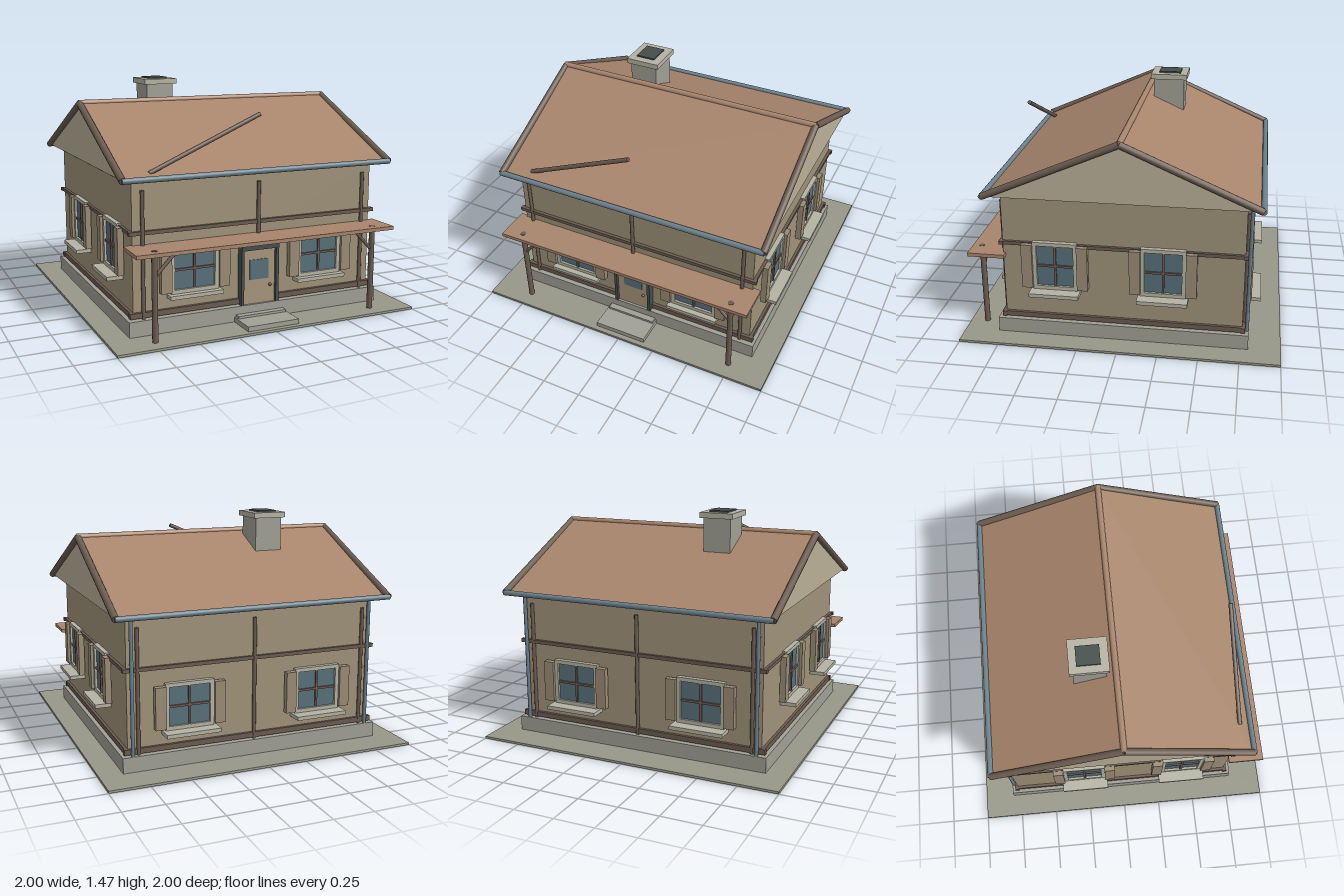
import * as THREE from 'three';

const paint = (color) => new THREE.MeshStandardMaterial({ color });
const M = {
  wall: paint(0x9f9279), timber: paint(0x6b5c50), roof: paint(0xa8856c), gable: paint(0xbab098),
  stone: paint(0xa0a095), slab: paint(0x979789), frame: paint(0xb4b3a3), glass: paint(0x587079),
  metal: paint(0x6c808a), dark: paint(0x454e4c), shutter: paint(0x9b8d75), door: paint(0xa6967b),
};

// Box given by its extents on each axis
function box(parent, name, mat, [x0, x1], [y0, y1], [z0, z1]) {
  const mesh = new THREE.Mesh(new THREE.BoxGeometry(x1 - x0, y1 - y0, z1 - z0), mat);
  mesh.position.set((x0 + x1) / 2, (y0 + y1) / 2, (z0 + z1) / 2);
  mesh.name = name;
  parent.add(mesh);
  return mesh;
}

// Round bar between two points
function bar(parent, name, mat, a, b, r) {
  const from = new THREE.Vector3(...a), to = new THREE.Vector3(...b);
  const dir = to.clone().sub(from);
  const mesh = new THREE.Mesh(new THREE.CylinderGeometry(r, r, dir.length(), 12), mat);
  mesh.position.copy(from).add(to).multiplyScalar(0.5);
  mesh.quaternion.setFromUnitVectors(new THREE.Vector3(0, 1, 0), dir.normalize());
  mesh.name = name;
  parent.add(mesh);
  return mesh;
}

// Shuttered window, facing +z from the wall plane z = 0
function makeWindow(w, h, sillOut) {
  const g = new THREE.Group();
  g.name = 'window';
  const x = w / 2, y = h / 2, t = 0.024;
  box(g, 'glass', M.glass, [-x + t, x - t], [-y + t / 2, y - t / 2], [0, 0.015]);
  for (const s of [-1, 1]) {
    const side = box(g, 'frameSide', M.frame, [-t / 2, t / 2], [-y, y], [0, 0.03]);
    side.position.x = s * (x - t / 2);
    const rail = box(g, 'frameRail', M.frame, [-x, x], [-t / 2, t / 2], [0, 0.03]);
    rail.position.y = s * (y - t / 2);
    const shutter = box(g, 'shutter', M.shutter, [-0.034, 0.034], [-y + 0.014, y - 0.014], [0.01, 0.048]);
    shutter.position.x = s * (x + 0.034);
  }
  box(g, 'verticalBar', M.timber, [-0.007, 0.007], [-y + t, y - t], [0.005, 0.025]);
  box(g, 'horizontalBar', M.timber, [-x + t, x - t], [-0.007, 0.007], [0.005, 0.025]);
  box(g, 'sill', M.frame, [-x - 0.017, x + 0.017], [-y - 0.024, -y], [0, sillOut]);
  return g;
}

// Triangular prism along x, from x0 to x1
function prism(name, mat, halfDepth, yBase, yTop, zMid, x0, x1) {
  const s = new THREE.Shape();
  s.moveTo(-halfDepth, yBase);
  s.lineTo(halfDepth, yBase);
  s.lineTo(0, yTop);
  const geo = new THREE.ExtrudeGeometry(s, { depth: x1 - x0, bevelEnabled: false });
  geo.rotateY(Math.PI / 2);
  const mesh = new THREE.Mesh(geo, mat);
  mesh.position.set(x0, 0, zMid);
  mesh.name = name;
  return mesh;
}

export function createModel() {
  const house = new THREE.Group();
  house.name = 'house';
  const ZM = -0.0125;

  // Ground, plinth and walls
  box(house, 'groundSlab', M.slab, [-1, 1], [0, 0.015], [-1, 1]);
  box(house, 'foundation', M.stone, [-0.855, 0.855], [0.01, 0.11], [-0.8, 0.78]);
  box(house, 'walls', M.wall, [-0.815, 0.815], [0.11, 0.952], [-0.76, 0.735]);

  // Timber bands round the walls
  for (const [y0, y1] of [[0.117, 0.15], [0.617, 0.64]]) {
    for (const [z0, z1] of [[-0.778, -0.75], [0.727, 0.755]])
      box(house, 'timberBand', M.timber, [-0.84, 0.84], [y0, y1], [z0, z1]);
    for (const s of [-1, 1]) {
      const b = box(house, 'sideBand', M.timber, [-0.014, 0.014], [y0, y1], [-0.778, 0.755]);
      b.position.x = s * 0.819;
    }
  }

  // Upright timbers, shortened over the door
  for (const x of [-0.755, 0, 0.75]) {
    bar(house, 'frontUpright', M.timber, [x, x ? 0.11 : 0.47, 0.749], [x, 0.88, 0.749], 0.012);
    bar(house, 'backUpright', M.timber, [x, 0.11, -0.77], [x, 0.88, -0.77], 0.012);
  }

  // Windows on all four sides
  for (const s of [-1, 1]) {
    const front = makeWindow(0.31, 0.29, 0.067);
    front.position.set(s * 0.43, 0.385, 0.735);
    const back = makeWindow(0.31, 0.29, 0.105);
    back.position.set(s * 0.43, 0.385, -0.76);
    back.rotation.y = Math.PI;
    house.add(front, back);
    for (const z of [0.403, -0.268]) {
      const side = makeWindow(0.278, 0.318, 0.102);
      side.position.set(s * 0.815, 0.49, z);
      side.rotation.y = s * Math.PI / 2;
      house.add(side);
    }
  }

  // Door and steps
  const door = new THREE.Group();
  door.name = 'door';
  house.add(door);
  box(door, 'doorLeaf', M.door, [-0.112, 0.112], [0.06, 0.458], [0.73, 0.765]);
  box(door, 'doorGlass', M.glass, [-0.066, 0.063], [0.265, 0.392], [0.75, 0.769]);
  box(door, 'leftJamb', M.dark, [0.108, 0.128], [0.11, 0.46], [0.73, 0.785]);
  box(door, 'rightJamb', M.dark, [-0.13, -0.112], [0.11, 0.46], [0.73, 0.785]);
  box(door, 'lintel', M.dark, [-0.13, 0.128], [0.458, 0.49], [0.73, 0.79]);
  const knob = new THREE.Mesh(new THREE.SphereGeometry(0.01, 12, 8), M.timber);
  knob.position.set(0.073, 0.222, 0.772);
  knob.name = 'doorKnob';
  door.add(knob);
  box(house, 'lowerStep', M.stone, [-0.175, 0.172], [0.015, 0.045], [0.77, 0.968]);
  box(house, 'upperStep', M.stone, [-0.165, 0.162], [0.04, 0.06], [0.77, 0.82]);

  // Porch canopy with posts and braces
  box(house, 'porchRoof', M.roof, [-0.865, 0.862], [0.533, 0.556], [0.72, 0.953]);
  for (const s of [-1, 1]) {
    bar(house, 'porchPost', M.timber, [s * 0.738, 0.015, 0.895], [s * 0.738, 0.558, 0.895], 0.018);
    bar(house, 'porchBrace', M.timber, [s * 0.73, 0.41, 0.895], [s * 0.61, 0.535, 0.895], 0.011);
  }

  // Solid roof, pale gables, edge trim and ridge
  house.add(prism('roof', M.roof, 0.835, 0.95, 1.328, ZM, -0.885, 0.885));
  for (const s of [-1, 1]) {
    house.add(prism('gable', M.gable, 0.815, 0.953, 1.32, ZM, s > 0 ? 0.87 : -0.889, s > 0 ? 0.889 : -0.87));
    for (const d of [-1, 1])
      bar(house, 'vergeTrim', M.timber, [s * 0.894, 0.955, ZM + d * 0.838], [s * 0.894, 1.32, ZM], 0.022);
    bar(house, 'gutter', M.metal, [-0.9, 0.955, ZM + s * 0.838], [0.9, 0.955, ZM + s * 0.838], 0.018);
    bar(house, 'drainpipe', M.metal, [s * 0.79, 0.11, -0.788], [s * 0.79, 0.95, -0.788], 0.012);
  }
  bar(house, 'ridge', M.roof, [-0.9, 1.323, ZM], [0.9, 1.323, ZM], 0.02);

  // Chimney
  box(house, 'chimneyStack', M.stone, [-0.415, -0.232], [1.1, 1.43], [-0.277, -0.07]);
  box(house, 'chimneyCap', M.frame, [-0.435, -0.212], [1.425, 1.46], [-0.297, -0.052]);
  box(house, 'chimneyFlue', M.dark, [-0.388, -0.262], [1.44, 1.47], [-0.25, -0.103]);

  // Slanting pole over the front eave
  bar(house, 'slantingPole', M.timber, [-0.71, 0.978, 0.753], [0, 1.288, 0.753], 0.014);

  return house;
}
